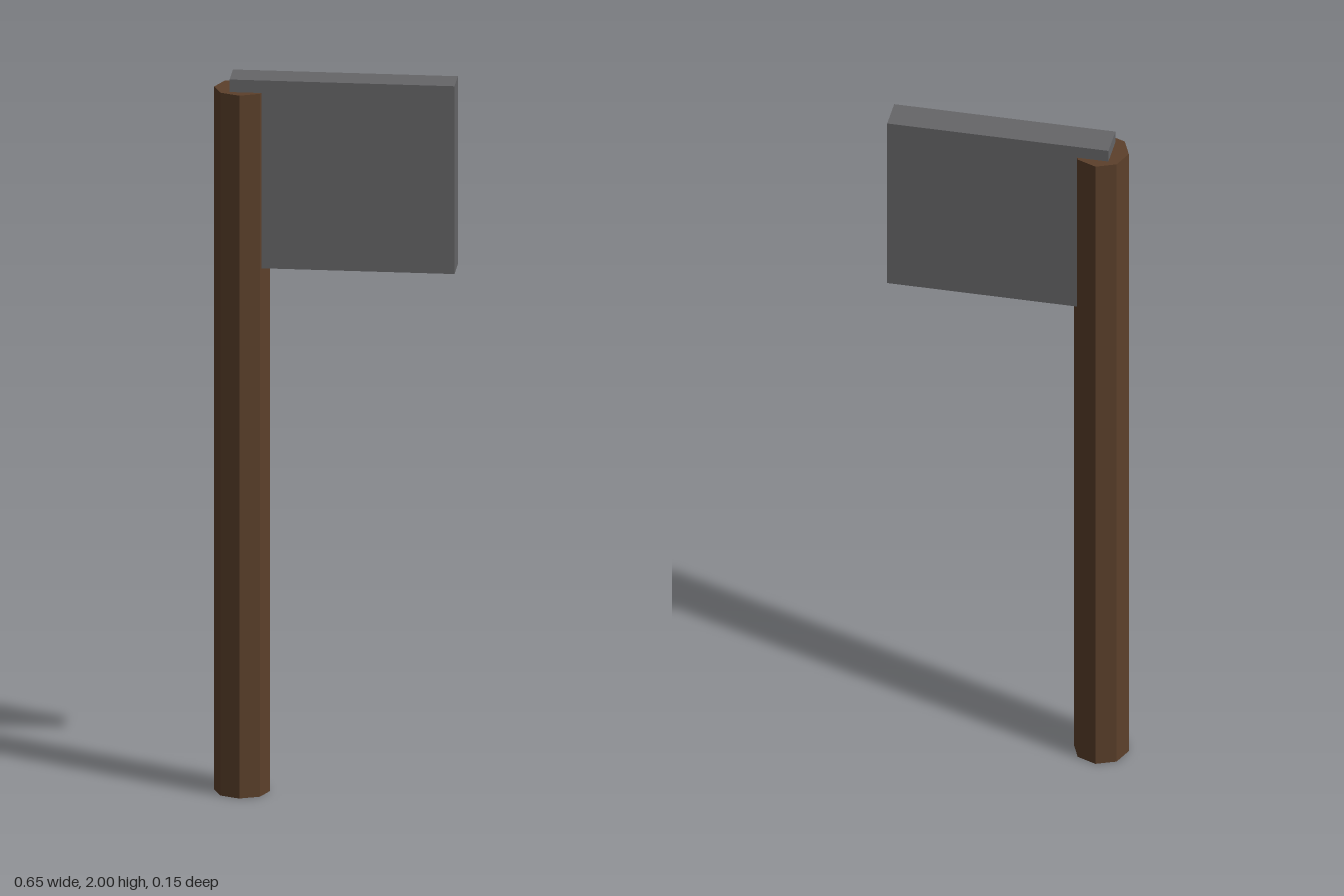
import * as THREE from 'three';

export function createModel() {
  const model = new THREE.Group();
  model.name = 'axe';

  const wood = new THREE.MeshStandardMaterial({ color: 0x5c402b });
  wood.name = 'dark wood';
  wood.flatShading = true;
  const metal = new THREE.MeshStandardMaterial({ color: 0x666668 });
  metal.name = 'grey metal';
  metal.flatShading = true;

  // Eight-sided handle standing on the ground
  const handle = new THREE.Mesh(new THREE.CylinderGeometry(0.075, 0.075, 1.965, 8), wood);
  handle.name = 'handle';
  handle.position.set(-0.25, 0.9825, 0);
  model.add(handle);

  // Slab blade let into the top of the handle
  const blade = new THREE.Mesh(new THREE.BoxGeometry(0.603, 0.525, 0.09), metal);
  blade.name = 'blade';
  blade.position.set(0.0225, 1.7375, 0);
  model.add(blade);

  return model;
}
